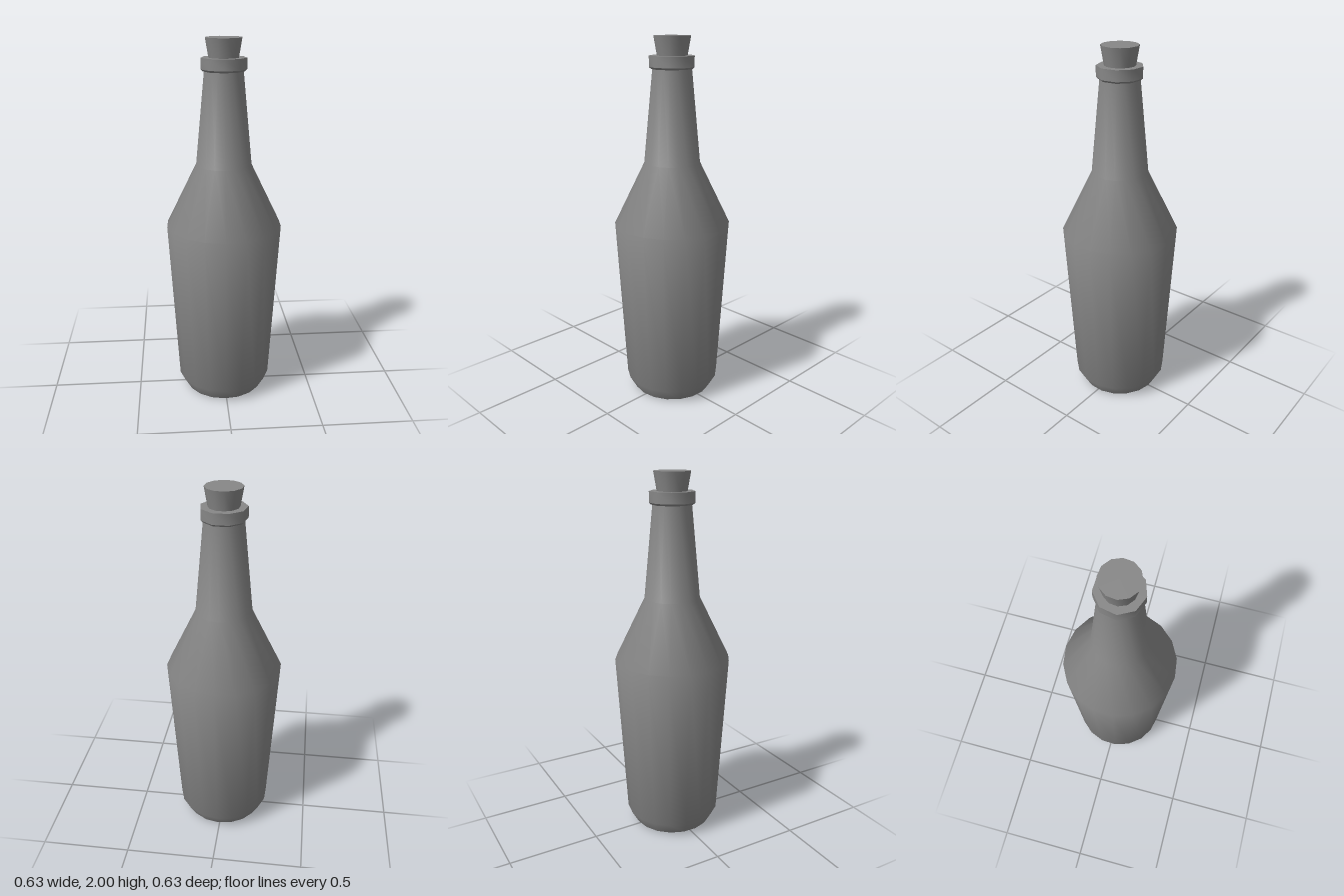
import * as THREE from 'three';
import { toCreasedNormals } from 'three/addons/utils/BufferGeometryUtils.js';

// Turned part: profile of [radius, y] from bottom to top, smooth except at sharp rims
function turned(name, profile, sides, startAngle) {
  const points = profile.map(([r, y]) => new THREE.Vector2(r, y));
  const lathe = new THREE.LatheGeometry(points, sides, startAngle);
  const mesh = new THREE.Mesh(
    toCreasedNormals(lathe, 0.72),
    new THREE.MeshStandardMaterial({ color: 0x878787 })
  );
  mesh.name = name;
  return mesh;
}

export function createModel() {
  const bottle = new THREE.Group();
  bottle.name = 'bottle';

  // Body, shoulder and tapering neck, with a very slightly domed base
  bottle.add(turned('bottleBody', [
    [0, 0], [0.222, 0.008], [0.263, 0.08], [0.317, 1.0],
    [0.151, 1.34], [0.103, 1.84],
  ], 18, -0.038));

  // Faceted lip around the mouth, chamfered underneath
  bottle.add(turned('lipRing', [
    [0.08, 1.832], [0.11, 1.832], [0.121, 1.842], [0.121, 1.9], [0, 1.9],
  ], 9, -0.03));

  // Cork, widening towards the top
  bottle.add(turned('cork', [
    [0, 1.88], [0.077, 1.88], [0.098, 2], [0, 2],
  ], 12, 0.14));

  return bottle;
}
